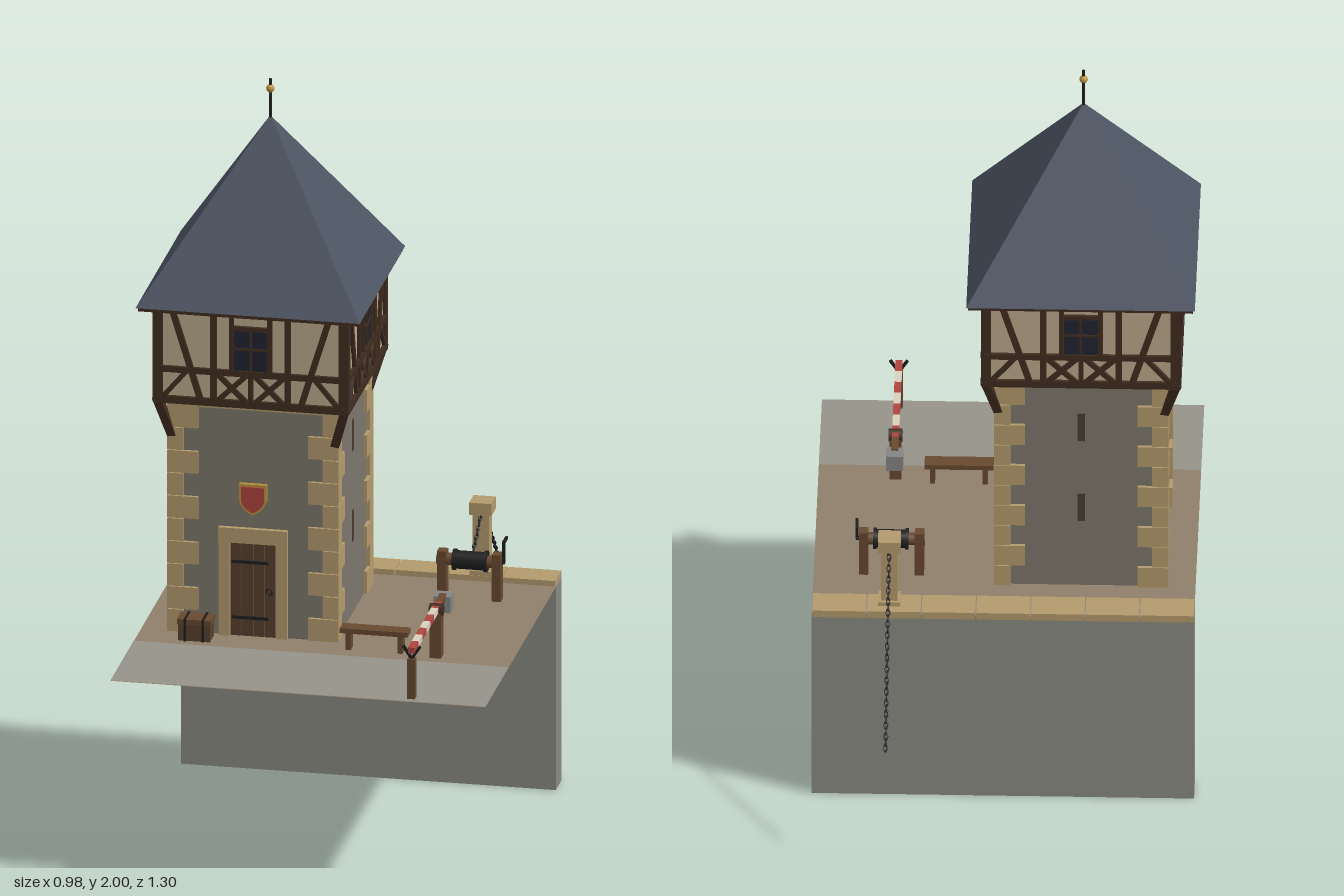
import * as THREE from 'three';

const mat = (color, extra = {}) => new THREE.MeshStandardMaterial({ color, ...extra });
const M = {
  wall: mat(0x8a8a82), tower: mat(0x7c776c), quoin: mat(0xb39a6c), timber: mat(0x402c20),
  plaster: mat(0xb9a98c), roof: mat(0x4c5362, { flatShading: true }), wood: mat(0x67492f),
  door: mat(0x58402e), iron: mat(0x1e1e20), glass: mat(0x20242f), gold: mat(0xb8923a),
  red: mat(0xb0443f), white: mat(0xd8d0bc), slit: mat(0x4a3c33), weight: mat(0x858585),
  earth: mat(0x8f806c, { side: THREE.DoubleSide }), road: mat(0x96938a),
};
const G = 0.555;                       // ground level
const TX = -0.197, TZ = 0.037;         // tower axis

function add(parent, name, geo, material, x = 0, y = 0, z = 0) {
  const m = new THREE.Mesh(geo, material);
  m.name = name;
  m.position.set(x, y, z);
  parent.add(m);
  return m;
}
// box given by its extents
function block(parent, name, material, x0, x1, y0, y1, z0, z1) {
  return add(parent, name, new THREE.BoxGeometry(x1 - x0, y1 - y0, z1 - z0), material,
    (x0 + x1) / 2, (y0 + y1) / 2, (z0 + z1) / 2);
}
// square bar between two points
function bar(parent, name, material, a, b, w, d = w) {
  const A = new THREE.Vector3(...a), B = new THREE.Vector3(...b);
  const m = add(parent, name, new THREE.BoxGeometry(w, A.distanceTo(B), d), material);
  m.position.copy(A).add(B).multiplyScalar(0.5);
  m.quaternion.setFromUnitVectors(new THREE.Vector3(0, 1, 0), B.sub(A).normalize());
  return m;
}
function group(parent, name) {
  const g = new THREE.Group();
  g.name = name;
  parent.add(g);
  return g;
}

function buildSite(root) {
  const g = group(root, 'quay');
  const ground = add(g, 'ground', new THREE.PlaneGeometry(0.98, 0.905), M.earth, 0, G, 0.1975);
  ground.rotation.x = -Math.PI / 2;
  const road = add(g, 'road', new THREE.PlaneGeometry(0.98, 0.297), M.road, 0, G + 0.002, 0.5015);
  road.rotation.x = -Math.PI / 2;
  block(g, 'quayWall', M.wall, -0.49, 0.49, 0, G, -0.327, -0.255);
  for (let i = 0; i < 7; i++) {
    const x = -0.49 + i * 0.14;
    block(g, 'copingStone', M.quoin, x + 0.001, x + 0.138, G - 0.005, G + 0.015, -0.337, -0.257);
  }
}

// timber framing of one side, local z pointing outward
function timberSide(side) {
  const z = 0.251, y0 = 1.2, y1 = 1.445, sill = 1.283;
  const beam = (xa, ya, xb, yb, w = 0.016) => bar(side, 'timberBeam', M.timber, [xa, ya, z], [xb, yb, z], w, 0.012);
  beam(-0.25, y0, 0.25, y0, 0.02);
  beam(-0.25, y1, 0.25, y1, 0.018);
  beam(-0.25, sill, 0.25, sill);
  for (const s of [-1, 1]) {
    beam(s * 0.097, y0, s * 0.097, y1);
    beam(s * 0.05, sill, s * 0.05, y1, 0.012);
    beam(s * 0.13, y0, s * 0.205, y1);
    beam(s * 0.235, y0, s * 0.165, sill, 0.012);
    beam(s * 0.006, y0, s * 0.092, sill, 0.013);
    beam(s * 0.006, sill, s * 0.092, y0, 0.013);
  }
  beam(0, y0, 0, sill, 0.012);
  block(side, 'windowPane', M.glass, -0.044, 0.044, 1.287, 1.402, 0.245, 0.252);
  beam(-0.05, 1.406, 0.05, 1.406, 0.012);
  bar(side, 'windowMullion', M.timber, [0, 1.287, 0.252], [0, 1.402, 0.252], 0.006);
  bar(side, 'windowMullion', M.timber, [-0.044, 1.35, 0.252], [0.044, 1.35, 0.252], 0.006);
}

function buildTower(root) {
  const t = group(root, 'tower');
  t.position.set(TX, 0, TZ);
  block(t, 'towerShaft', M.tower, -0.215, 0.215, G, 1.19, -0.215, 0.215);
  block(t, 'cornice', M.quoin, -0.226, 0.226, 1.174, 1.192, -0.226, 0.226);
  block(t, 'upperStorey', M.plaster, -0.248, 0.248, 1.192, 1.45, -0.248, 0.248);
  // corner stones, long and short in turn
  const h = 0.062;
  for (const sx of [-1, 1]) for (const sz of [-1, 1]) {
    for (let i = 0; i < 10; i++) {
      const long = (i % 2 === 0) === (sx * sz > 0);
      const w = long ? 0.08 : 0.042, d = long ? 0.042 : 0.08;
      add(t, 'cornerStone', new THREE.BoxGeometry(w, h - 0.002, d), M.quoin,
        sx * (0.224 - w / 2), G + h * (i + 0.5), sz * (0.224 - d / 2));
    }
    add(t, 'cornerPost', new THREE.BoxGeometry(0.026, 0.262, 0.026), M.timber, sx * 0.243, 1.322, sz * 0.243);
    bar(t, 'cornerBracket', M.timber, [sx * 0.213, 1.09, sz * 0.213], [sx * 0.247, 1.205, sz * 0.247], 0.022);
  }
  for (let k = 0; k < 4; k++) {
    const side = group(t, 'towerSide');
    side.rotation.y = k * Math.PI / 2;
    timberSide(side);
    if (k > 0) for (const y of [0.795, 1.042])
      block(side, 'arrowSlit', M.slit, -0.01, 0.01, y - 0.042, y + 0.042, 0.21, 0.217);
  }
  // roof and finial
  block(t, 'eaves', M.timber, -0.288, 0.288, 1.447, 1.459, -0.288, 0.288);
  const roof = add(t, 'roof', new THREE.ConeGeometry(0.293 * Math.SQRT2, 0.443, 4, 1), M.roof, 0, 1.6785, 0);
  roof.geometry.rotateY(Math.PI / 4);
  add(t, 'finialRod', new THREE.CylinderGeometry(0.004, 0.004, 0.12, 8), M.iron, 0, 1.94, 0);
  add(t, 'finialKnob', new THREE.SphereGeometry(0.011, 10, 8), M.gold, 0, 1.973, 0);

  // door with stone surround
  const d = group(t, 'doorway');
  for (const s of [-1, 1]) add(d, 'doorJamb', new THREE.BoxGeometry(0.03, 0.26, 0.02), M.quoin, s * 0.075, G + 0.13, 0.217);
  block(d, 'doorLintel', M.quoin, -0.09, 0.09, 0.81, 0.85, 0.205, 0.228);
  for (let i = 0; i < 4; i++)
    block(d, 'doorPlank', M.door, -0.06 + i * 0.03, -0.031 + i * 0.03, G, 0.81, 0.205, 0.219);
  for (const y of [0.605, 0.757]) block(d, 'doorHinge', M.iron, -0.056, 0.04, y - 0.004, y + 0.004, 0.215, 0.222);
  add(d, 'doorRing', new THREE.TorusGeometry(0.008, 0.002, 6, 12), M.iron, 0.042, 0.68, 0.222);

  // plain shield above the door
  const shield = (name, k, depth, material) => {
    const s = new THREE.Shape();
    s.moveTo(-0.036 * k, 0.04 * k);
    s.lineTo(0.036 * k, 0.04 * k);
    s.lineTo(0.036 * k, -0.005 * k);
    s.quadraticCurveTo(0.03 * k, -0.03 * k, 0, -0.044 * k);
    s.quadraticCurveTo(-0.03 * k, -0.03 * k, -0.036 * k, -0.005 * k);
    add(t, name, new THREE.ExtrudeGeometry(s, { depth, bevelEnabled: false }), material, 0, 0.932, 0.213);
  };
  shield('shieldRim', 1, 0.014, M.gold);
  shield('shieldField', 0.84, 0.018, M.red);
}

function buildYard(root) {
  // chest beside the door
  const c = group(root, 'chest');
  block(c, 'chestBody', M.door, -0.38, -0.297, G, 0.6, 0.27, 0.322);
  block(c, 'chestLid', M.wood, -0.383, -0.294, 0.6, 0.614, 0.267, 0.325);
  for (const x of [-0.365, -0.318]) block(c, 'chestBand', M.iron, x, x + 0.006, G, 0.616, 0.266, 0.327);
  // bench
  const b = group(root, 'bench');
  block(b, 'benchSeat', M.wood, 0.04, 0.217, 0.602, 0.615, 0.27, 0.312);
  for (const x of [0.055, 0.19]) block(b, 'benchLeg', M.wood, x, x + 0.013, G, 0.602, 0.275, 0.307);

  // toll barrier
  const g = group(root, 'barrier');
  const x = 0.292, y = 0.688;
  block(g, 'pivotPost', M.wood, x - 0.015, x + 0.015, G, 0.678, 0.292, 0.322);
  const pin = add(g, 'pivotPin', new THREE.CylinderGeometry(0.017, 0.017, 0.036, 6), M.timber, x, y - 0.006, 0.306);
  pin.rotation.z = Math.PI / 2;
  block(g, 'poleTail', M.wood, x - 0.009, x + 0.009, y - 0.008, y + 0.008, 0.22, 0.28);
  block(g, 'counterweight', M.weight, x - 0.022, x + 0.022, 0.648, 0.692, 0.192, 0.236);
  const n = 7, z0 = 0.28, dz = 0.05;
  for (let i = 0; i < n; i++)
    block(g, 'poleStripe', i % 2 ? M.white : M.red, x - 0.009, x + 0.009, y - 0.008, y + 0.008, z0 + i * dz, z0 + (i + 1) * dz);
  block(g, 'restPost', M.wood, x - 0.01, x + 0.01, G, 0.665, 0.614, 0.634);
  for (const s of [-1, 1]) bar(g, 'restFork', M.iron, [x, 0.664, 0.624], [x + s * 0.022, 0.698, 0.624], 0.007);
}

function buildWinch(root) {
  const g = group(root, 'winch');
  const x = 0.292, y = 0.658, z = -0.132;
  const rod = (name, r, x0, x1, m, yy = y, zz = z) => {
    const c = add(g, name, new THREE.CylinderGeometry(r, r, x1 - x0, 14), m, (x0 + x1) / 2, yy, zz);
    c.rotation.z = Math.PI / 2;
  };
  for (const px of [0.207, 0.35]) block(g, 'winchPost', M.wood, px, px + 0.024, G, 0.682, z - 0.015, z + 0.015);
  rod('axle', 0.016, 0.205, 0.352, M.wood);
  rod('drum', 0.024, 0.247, 0.337, M.iron);
  for (const dx of [-0.045, 0.037]) rod('drumFlange', 0.028, x + dx, x + dx + 0.008, M.iron);
  rod('crankShaft', 0.005, 0.35, 0.382, M.iron);
  bar(g, 'crankArm', M.iron, [0.379, y, z], [0.379, 0.715, z], 0.007);
  bar(g, 'crankHandle', M.iron, [0.379, 0.713, z + 0.004], [0.379, 0.713, z - 0.04], 0.007);

  // guide pillar on the wall
  block(g, 'pillarFoot', M.quoin, x - 0.028, x + 0.028, 0.565, 0.582, -0.312, -0.258);
  block(g, 'pillarShaft', M.quoin, x - 0.021, x + 0.021, 0.58, 0.735, -0.304, -0.264);
  block(g, 'pillarCap', M.quoin, x - 0.029, x + 0.029, 0.735, 0.768, -0.315, -0.257);

  // chain of links, each turned a quarter from the last
  const chain = new THREE.CatmullRomCurve3([[0.665, -0.158], [0.695, -0.21], [0.728, -0.262], [0.73, -0.3],
    [0.707, -0.322], [0.588, -0.444], [0.475, -0.543], [0.358, -0.646]].map(([cy, cz]) => new THREE.Vector3(x, cy, cz)));
  const link = new THREE.TorusGeometry(0.0045, 0.0018, 6, 10);
  link.scale(1, 2, 1);
  const count = Math.round(chain.getLength() / 0.0145);
  for (let i = 0; i <= count; i++) {
    const u = i / count;
    const m = add(g, 'chainLink', link, M.iron);
    m.position.copy(chain.getPointAt(u));
    m.quaternion.setFromUnitVectors(new THREE.Vector3(0, 1, 0), chain.getTangentAt(u));
    if (i % 2) m.rotateY(Math.PI / 2);
  }
}

export function createModel() {
  const root = new THREE.Group();
  root.name = 'customsTower';
  buildSite(root);
  buildTower(root);
  buildYard(root);
  buildWinch(root);
  return root;
}
